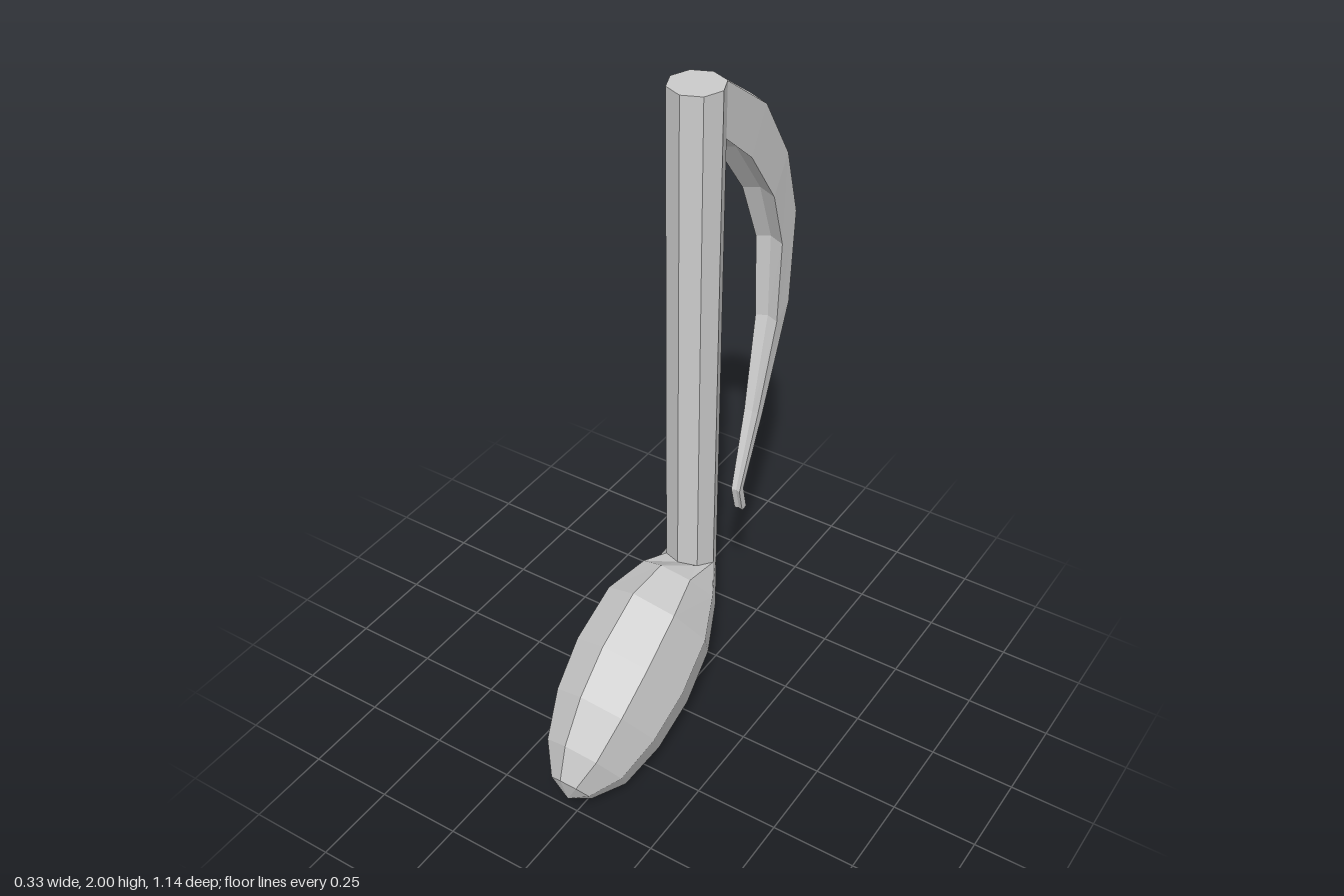
import * as THREE from 'three';

const material = new THREE.MeshStandardMaterial({ color: 0xcccccc, flatShading: true });

// Skin a list of rings; optional centre points close the first and last ring with a fan
function loft(name, rings, startCentre, endCentre) {
  const pos = [];
  const n = rings[0].length;
  const tri = (a, b, c) => pos.push(...a, ...b, ...c);
  for (let j = 0; j < n; j++) {
    const k = (j + 1) % n;
    for (let i = 0; i < rings.length - 1; i++) {
      const a = rings[i], b = rings[i + 1];
      tri(a[j], a[k], b[k]);
      tri(a[j], b[k], b[j]);
    }
    if (startCentre) tri(startCentre, rings[0][k], rings[0][j]);
    const last = rings[rings.length - 1];
    if (endCentre) tri(endCentre, last[j], last[k]);
  }
  const geometry = new THREE.BufferGeometry();
  geometry.setAttribute('position', new THREE.Float32BufferAttribute(pos, 3));
  geometry.computeVertexNormals();
  const mesh = new THREE.Mesh(geometry, material);
  mesh.name = name;
  return mesh;
}

// Eight-sided ring: centre (y, z), half-width in x, and half-axis (dy, dz) in the side plane
function octagon(y, z, w, dy, dz) {
  return Array.from({ length: 8 }, (_, i) => {
    const a = (i * Math.PI) / 4;
    return [w * Math.sin(a), y + dy * Math.cos(a), z + dz * Math.cos(a)];
  });
}

export function createModel() {
  const group = new THREE.Group();

  // Shared joint between head and stem
  const stemBase = octagon(0.53, -0.1, 0.074, 0.02, 0.074);
  const stemTop = octagon(2, -0.106, 0.076, 0, 0.077);

  // Head: tilted ellipsoid, each row holds the upper and lower [z, y] of a ring
  const headRings = [
    [0.57, 0.19, 0.47, 0.04],
    [0.54, 0.3, 0.345, 0],
    [0.46, 0.42, 0.2, 0.03],
    [0.35, 0.52, 0.06, 0.1],
    [0.2, 0.6, -0.06, 0.2],
    [0.06, 0.6, -0.14, 0.325],
  ].map(([z1, y1, z2, y2]) => {
    const dy = (y1 - y2) / 2, dz = (z1 - z2) / 2;
    return octagon((y1 + y2) / 2, (z1 + z2) / 2, 0.647 * Math.hypot(dy, dz), dy, dz);
  });
  group.add(loft('noteHead', [...headRings, stemBase], [0, 0.09, 0.54]));

  // Stem: octagonal column
  group.add(loft('stem', [stemBase, stemTop], null, [0, 2, -0.106]));

  // Flag: ridged outside, grooved inside; rows are outer [z, y], inner [z, y], half-width
  const flagRings = [
    [-0.18, 2, -0.18, 1.845, 0.054],
    [-0.363, 1.872, -0.289, 1.735, 0.053],
    [-0.494, 1.675, -0.42, 1.56, 0.049],
    [-0.568, 1.46, -0.488, 1.38, 0.042],
    [-0.562, 1.165, -0.488, 1.125, 0.035],
    [-0.453, 0.825, -0.42, 0.84, 0.023],
    [-0.369, 0.6, -0.342, 0.597, 0.014],
    [-0.39, 0.515, -0.363, 0.515, 0.013],
  ].map(([zo, yo, zi, yi, w], i) => {
    const depth = w * 0.3;
    const len = Math.hypot(zi - zo, yi - yo);
    // Direction from the ridge towards the inside; the root follows the stem faces
    const dz = i ? ((zi - zo) / len) * depth : 0.022;
    const dy = i ? ((yi - yo) / len) * depth : 0;
    const zs = i ? zi : zi + dz;
    return [
      [0, yo, zo],
      [w, yo + dy, zo + dz],
      [w, yi, zs],
      [0, yi - dy, zs - dz],
      [-w, yi, zs],
      [-w, yo + dy, zo + dz],
    ];
  });
  group.add(loft('flag', flagRings, null, [0, 0.515, -0.376]));

  return group;
}
